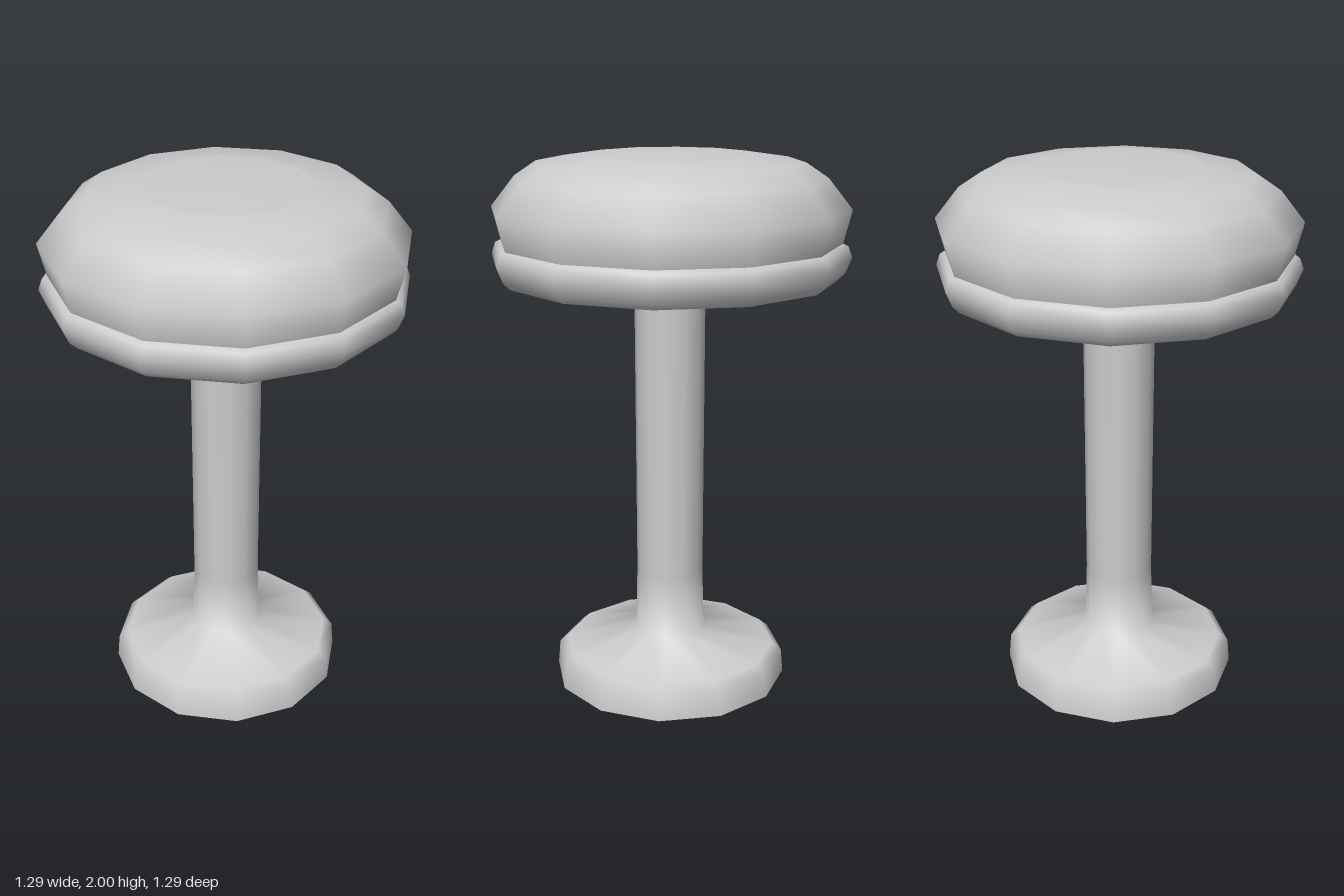
import * as THREE from 'three';

const SIDES = 12;
const TURN = THREE.MathUtils.degToRad(21); // places the twelve corners

const grey = new THREE.MeshStandardMaterial({ color: 0xcccccc, side: THREE.DoubleSide });
grey.name = 'light grey';

// Smooth twelve-sided open shell from [radius, height] pairs, bottom to top
function turned(name, profile) {
  const points = profile.map(([r, y]) => new THREE.Vector2(r, y));
  const mesh = new THREE.Mesh(new THREE.LatheGeometry(points, SIDES, TURN), grey);
  mesh.name = name;
  return mesh;
}

export function createModel() {
  const stool = new THREE.Group();
  stool.name = 'stool';

  // Flared foot blending into the column, hollow underneath
  stool.add(turned('pedestal', [
    [0.443, 0], [0.435, 0.09], [0.4, 0.12], [0.132, 0.188],
    [0.126, 0.42], [0.13, 1.55], [0.13, 1.96],
  ]));

  // Rolled band around the lower edge of the seat
  stool.add(turned('seatBand', [
    [0.605, 1.55], [0.63, 1.575], [0.652, 1.63], [0.638, 1.67], [0.618, 1.68],
  ]));

  // Padded cushion side, open below
  stool.add(turned('cushion', [
    [0.618, 1.68], [0.648, 1.8], [0.56, 1.91], [0.48, 1.963], [0.302, 1.99],
  ]));

  // Shallow round panel in the middle of the cushion
  stool.add(turned('cushionCentre', [[0.302, 1.99], [0.15, 1.997], [0, 2]]));

  return stool;
}
